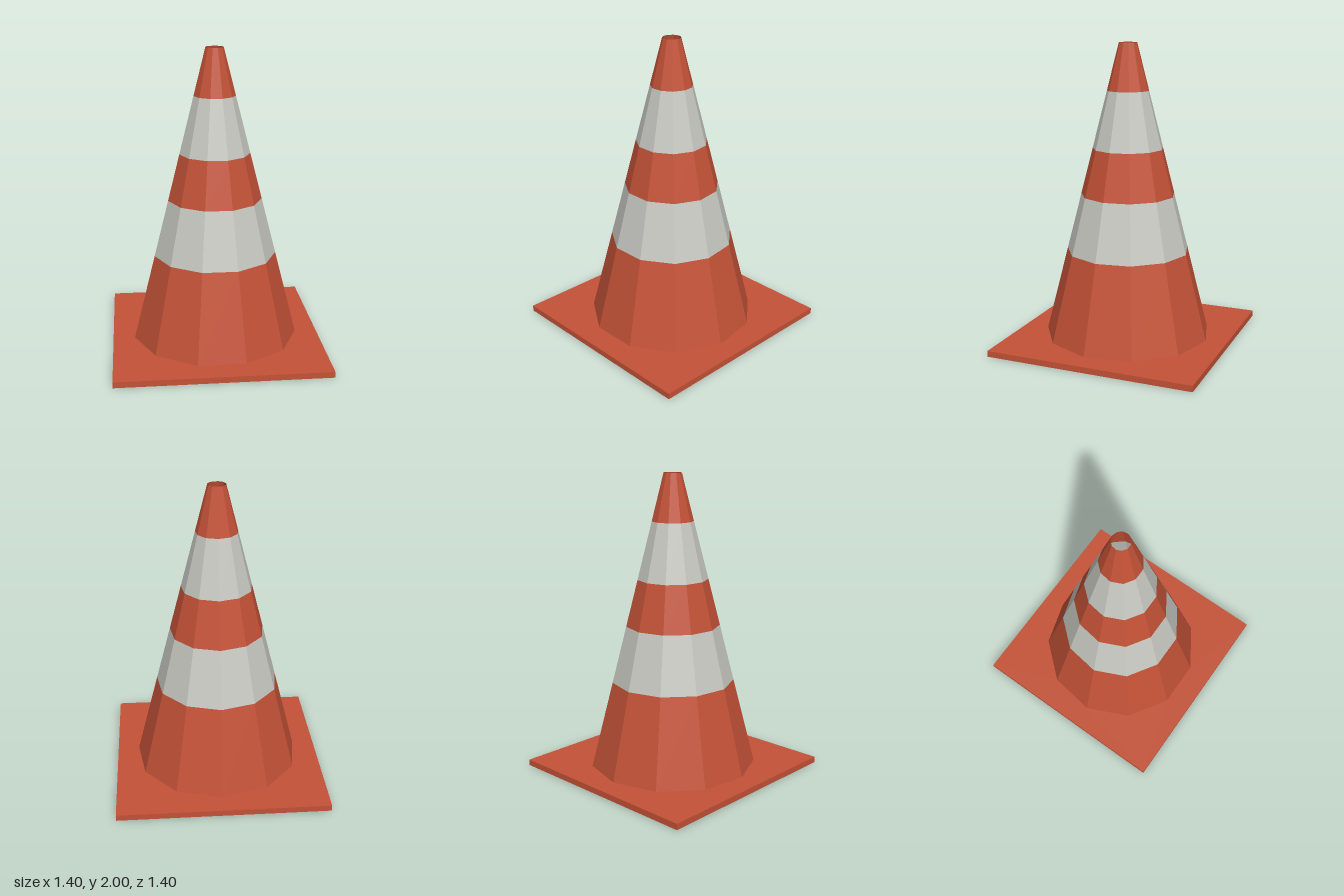
import * as THREE from 'three';

const SIDES = 11;
const BASE_HEIGHT = 0.04, TOP = 2;
const BOTTOM_RADIUS = 0.56, TOP_RADIUS = 0.06;

// Radius of the tapering shell at a given height
function radiusAt(y) {
  return THREE.MathUtils.mapLinear(y, BASE_HEIGHT, TOP, BOTTOM_RADIUS, TOP_RADIUS);
}

export function createModel() {
  const model = new THREE.Group();
  model.name = 'trafficCone';

  const options = { flatShading: true, side: THREE.DoubleSide };
  const orange = new THREE.MeshStandardMaterial({ name: 'orangeRed', color: 0xc45237, ...options });
  const white = new THREE.MeshStandardMaterial({ name: 'paleGrey', color: 0xc8c9c2, ...options });

  // Square foot plate with an open polygonal middle
  const plate = new THREE.Shape();
  plate.moveTo(-0.7, -0.7).lineTo(0.7, -0.7).lineTo(0.7, 0.7).lineTo(-0.7, 0.7).closePath();
  const opening = [];
  for (let i = 0; i < SIDES; i++) {
    const a = (i / SIDES) * Math.PI * 2;
    opening.push(new THREE.Vector2(Math.sin(a) * BOTTOM_RADIUS, Math.cos(a) * BOTTOM_RADIUS));
  }
  plate.holes.push(new THREE.Path(opening));
  const plateGeometry = new THREE.ExtrudeGeometry(plate, { depth: BASE_HEIGHT, bevelEnabled: false });
  plateGeometry.rotateX(-Math.PI / 2);
  const base = new THREE.Mesh(plateGeometry, orange);
  base.name = 'basePlate';
  model.add(base);

  // Hollow shell, stacked in alternating colour bands and open at both ends
  const levels = [BASE_HEIGHT, 0.62, 1.0, 1.31, 1.69, TOP];
  const names = ['lowerBody', 'lowerStripe', 'middleBody', 'upperStripe', 'tip'];
  names.forEach((name, i) => {
    const y0 = levels[i], y1 = levels[i + 1];
    const geometry = new THREE.CylinderGeometry(radiusAt(y1), radiusAt(y0), y1 - y0, SIDES, 1, true);
    geometry.rotateY(Math.PI);
    geometry.translate(0, (y0 + y1) / 2, 0);
    const band = new THREE.Mesh(geometry, i % 2 ? white : orange);
    band.name = name;
    model.add(band);
  });

  return model;
}
